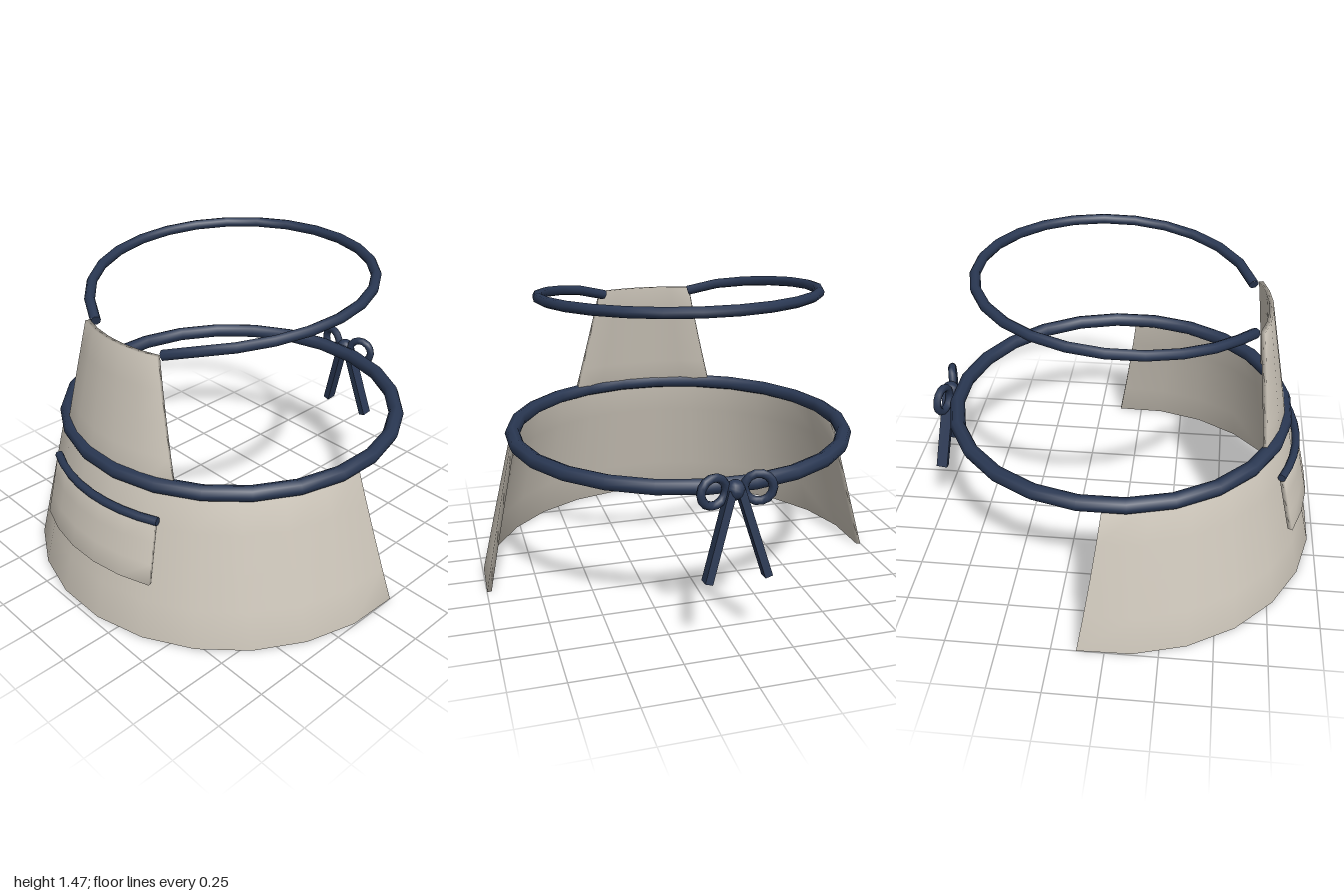
import * as THREE from 'three';
import { mergeGeometries } from 'three/addons/utils/BufferGeometryUtils.js';

const CZ = -0.025; // z of the body axis

// Point on a circle round the body axis, angle 0 = front
const around = (a, r, y) => new THREE.Vector3(r * Math.sin(a), y, CZ + r * Math.cos(a));

// Curved cloth panel with thickness t; each end is { y, r, a } (height, radius, half angle)
function panelGeometry(cols, rows, bottom, top, t) {
  const pos = [], index = [], w = cols + 1, layer = w * (rows + 1);
  const mix = THREE.MathUtils.lerp;
  for (const inset of [0, t])
    for (let j = 0; j <= rows; j++)
      for (let i = 0; i <= cols; i++) {
        const v = j / rows, half = mix(bottom.a, top.a, v);
        const p = around(half * (2 * i / cols - 1), mix(bottom.r, top.r, v) - inset, mix(bottom.y, top.y, v));
        pos.push(p.x, p.y, p.z);
      }
  // outer and inner faces
  for (let j = 0; j < rows; j++)
    for (let i = 0; i < cols; i++) {
      const a = j * w + i, b = a + 1, c = b + w, d = a + w, n = layer;
      index.push(a, b, c, a, c, d, a + n, c + n, b + n, a + n, d + n, c + n);
    }
  // rim joining both faces
  const rim = [];
  for (let i = 0; i < cols; i++) rim.push(i);
  for (let j = 0; j < rows; j++) rim.push(j * w + cols);
  for (let i = cols; i > 0; i--) rim.push(rows * w + i);
  for (let j = rows; j > 0; j--) rim.push(j * w);
  rim.forEach((p, k) => {
    const q = rim[(k + 1) % rim.length];
    index.push(q, p, p + layer, q, p + layer, q + layer);
  });
  const g = new THREE.BufferGeometry();
  g.setAttribute('position', new THREE.Float32BufferAttribute(pos, 3));
  g.setIndex(index);
  g.computeVertexNormals();
  return g;
}

// Round cord through the points, closed with flat discs at both ends
function cordGeometry(points, segments, radius) {
  const curve = new THREE.CatmullRomCurve3(points);
  const parts = [new THREE.TubeGeometry(curve, segments, radius, 8)];
  for (const [u, s] of [[0, -1], [1, 1]]) {
    const cap = new THREE.CircleGeometry(radius, 8);
    const dir = curve.getTangent(u).multiplyScalar(s);
    cap.applyQuaternion(new THREE.Quaternion().setFromUnitVectors(new THREE.Vector3(0, 0, 1), dir));
    const p = curve.getPoint(u);
    parts.push(cap.translate(p.x, p.y, p.z));
  }
  return mergeGeometries(parts);
}

export function createModel() {
  const model = new THREE.Group();
  model.name = 'apron';
  const cloth = new THREE.MeshStandardMaterial({ color: 0xcfc8bc });
  cloth.name = 'beige cloth';
  const navy = new THREE.MeshStandardMaterial({ color: 0x2a3853 });
  navy.name = 'navy cord';
  const add = (name, geometry, material, parent = model) => {
    const mesh = new THREE.Mesh(geometry, material);
    mesh.name = name;
    parent.add(mesh);
    return mesh;
  };

  // Cloth panels
  add('skirt', panelGeometry(13, 4, { y: 0, r: 1.005, a: 1.676 }, { y: 0.735, r: 0.832, a: 1.565 }, 0.022), cloth);
  add('bib', panelGeometry(5, 4, { y: 0.72, r: 0.825, a: 0.5 }, { y: 1.305, r: 0.717, a: 0.36 }, 0.022), cloth);
  add('pocket', panelGeometry(5, 3, { y: 0.285, r: 0.965, a: 0.416 }, { y: 0.59, r: 0.895, a: 0.426 }, 0.025), cloth);

  // Cord along the pocket's top edge
  const trim = [];
  for (let i = 0; i <= 8; i++) trim.push(around(0.435 * (i / 4 - 1), 0.886, 0.59));
  add('pocketTrim', cordGeometry(trim, 8, 0.02), navy);

  // Waist tie
  const waist = add('waistTie', new THREE.TorusGeometry(0.82, 0.037, 8, 24).rotateZ(Math.PI / 24).rotateX(Math.PI / 2), navy);
  waist.position.set(0, 0.735, CZ);

  // Neck strap, rising from the bib corners to the back
  const strap = [], start = 0.36;
  for (let i = 0; i <= 46; i++) {
    const a = start + (i / 46) * 2 * (Math.PI - start);
    const s = 1 - Math.abs(i / 23 - 1);
    strap.push(around(a, 0.67, 1.293 + 0.155 * Math.sin(Math.PI / 2 * s ** 0.7)));
  }
  add('neckStrap', cordGeometry(strap, 23, 0.025), navy);

  // Bow at the back
  const bow = new THREE.Group();
  bow.name = 'bow';
  bow.position.set(0, 0.735, -0.9);
  model.add(bow);
  add('bowKnot', new THREE.SphereGeometry(0.045, 10, 8), navy, bow);
  for (const side of [1, -1]) {
    const name = side > 0 ? 'left' : 'right';
    const loop = add(name + 'BowLoop', new THREE.TorusGeometry(0.062, 0.02, 8, 14), navy, bow);
    loop.position.set(side * 0.1, 0.005, -0.012);
    loop.rotation.y = side * 0.25;

    const from = new THREE.Vector3(side * 0.02, 0, -0.005);
    const to = new THREE.Vector3(side * 0.135, -0.39, -0.05);
    const dir = to.clone().sub(from);
    const tail = add(name + 'BowTail', new THREE.BoxGeometry(0.035, dir.length(), 0.055), navy, bow);
    tail.position.copy(from).add(to).multiplyScalar(0.5);
    tail.quaternion.setFromUnitVectors(new THREE.Vector3(0, -1, 0), dir.normalize());
  }
  return model;
}
